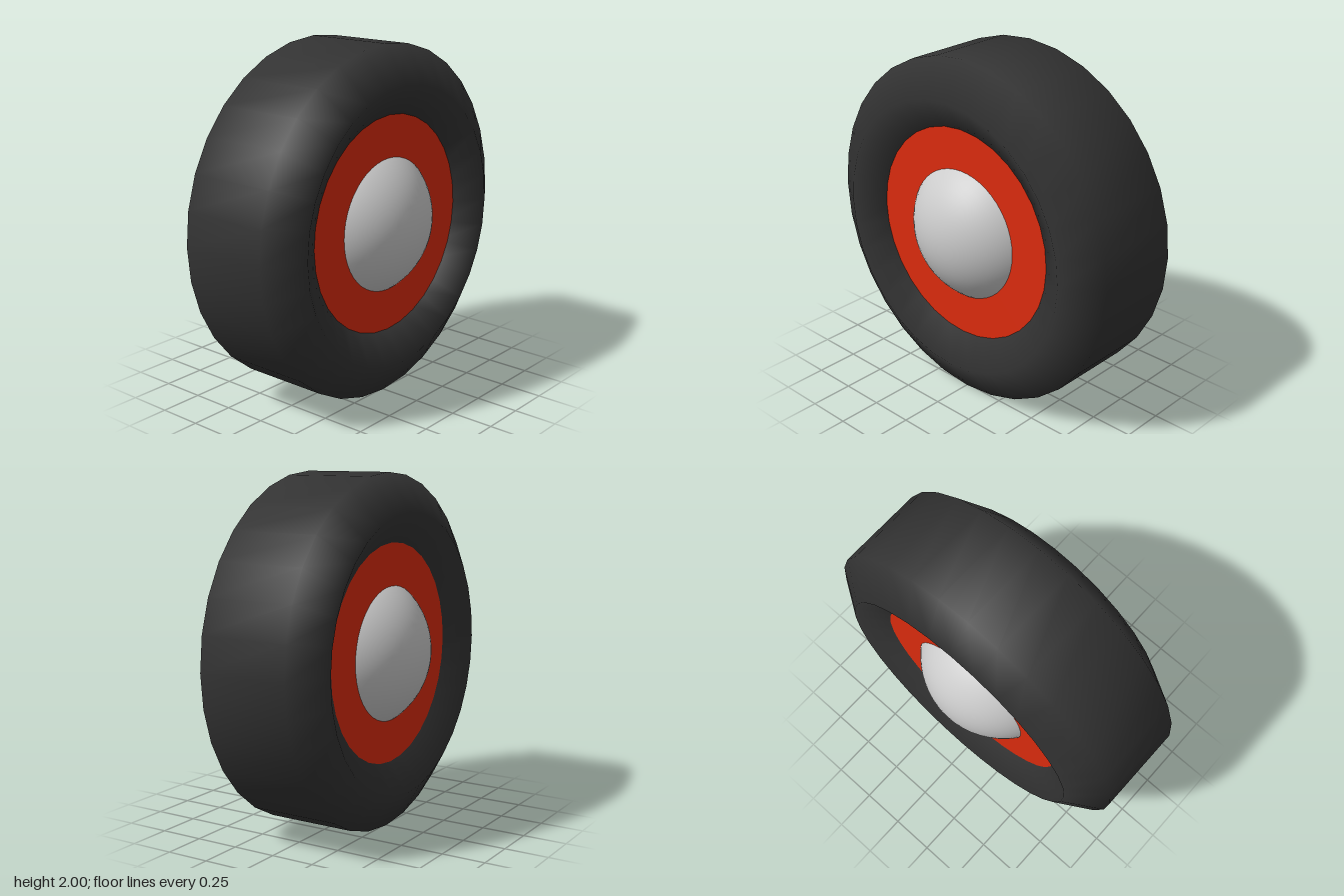
import * as THREE from 'three';

const SIDES = 32;

export function createModel() {
  const wheel = new THREE.Group();
  wheel.name = 'wheel';

  // Every part is turned around the axle, which lies along x
  const addPart = (name, geometry, color) => {
    geometry.rotateZ(-Math.PI / 2);
    const mesh = new THREE.Mesh(geometry, new THREE.MeshStandardMaterial({ color }));
    mesh.name = name;
    mesh.position.y = 1;
    wheel.add(mesh);
  };

  // Tyre: closed six-sided section (radius, distance along axle), smooth shaded
  const half = [[0.58, 0.26], [0.79, 0.395], [1, 0.26]];
  const section = [
    ...half.map(([r, x]) => new THREE.Vector2(r, -x)),
    ...[...half].reverse().map(([r, x]) => new THREE.Vector2(r, x)),
  ];
  section.push(section[0].clone());
  addPart('tyre', new THREE.LatheGeometry(section, SIDES), 0x333333);

  // Rim: red drum whose ends show inside the tyre's sidewalls
  addPart('rim', new THREE.CylinderGeometry(0.63, 0.63, 0.57, SIDES), 0xdd2c0e);

  // Hub: ball through the rim, showing a dome on each side
  addPart('hub', new THREE.SphereGeometry(0.475, 48, 32), 0xcccccc);

  return wheel;
}
